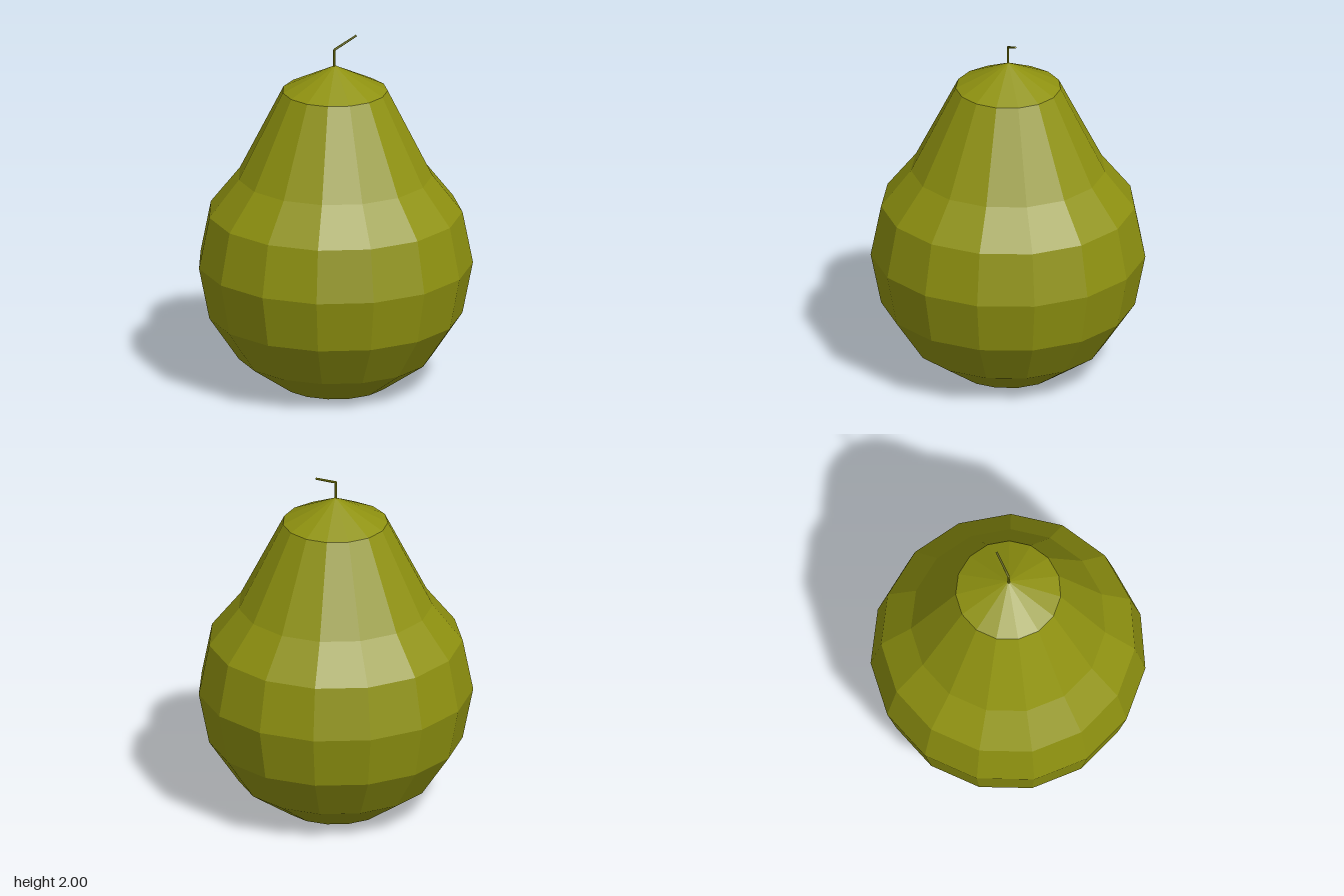
import * as THREE from 'three';

const SIDES = 15;
const CENTRE_Z = 0.008; // an odd-sided body sits slightly off its bounding centre

export function createModel() {
  const pear = new THREE.Group();
  pear.name = 'pear';

  const skin = new THREE.MeshStandardMaterial({ color: 0x8f9210, flatShading: true });
  skin.name = 'olive green';

  const add = (name, geometry) => {
    const mesh = new THREE.Mesh(geometry, skin);
    mesh.name = name;
    pear.add(mesh);
    return mesh;
  };

  // Faceted body: dimpled base, round belly, tapering neck and low pointed crown
  const profile = [
    [0, 0.08], [0.291, 0], [0.538, 0.17], [0.703, 0.415], [0.761, 0.708],
    [0.703, 1.0], [0.538, 1.21], [0.291, 1.7], [0, 1.844],
  ].map(([r, y]) => new THREE.Vector2(r, y));
  add('body', new THREE.LatheGeometry(profile, SIDES, Math.PI)).position.z = CENTRE_Z;

  // Thin bent stem: an upright piece and a tip leaning to the model's left
  const stemPoints = [[-0.004, 1.82], [-0.004, 1.934], [0.134, 1.995]]
    .map(([x, y]) => new THREE.Vector3(x, y, CENTRE_Z));
  ['lowerStem', 'stemTip'].forEach((name, i) => {
    const from = stemPoints[i];
    const to = stemPoints[i + 1];
    const dir = to.clone().sub(from);
    const piece = add(name, new THREE.CylinderGeometry(0.006, 0.007, dir.length(), 8));
    piece.position.copy(from).add(to).multiplyScalar(0.5);
    piece.quaternion.setFromUnitVectors(new THREE.Vector3(0, 1, 0), dir.normalize());
  });

  return pear;
}
